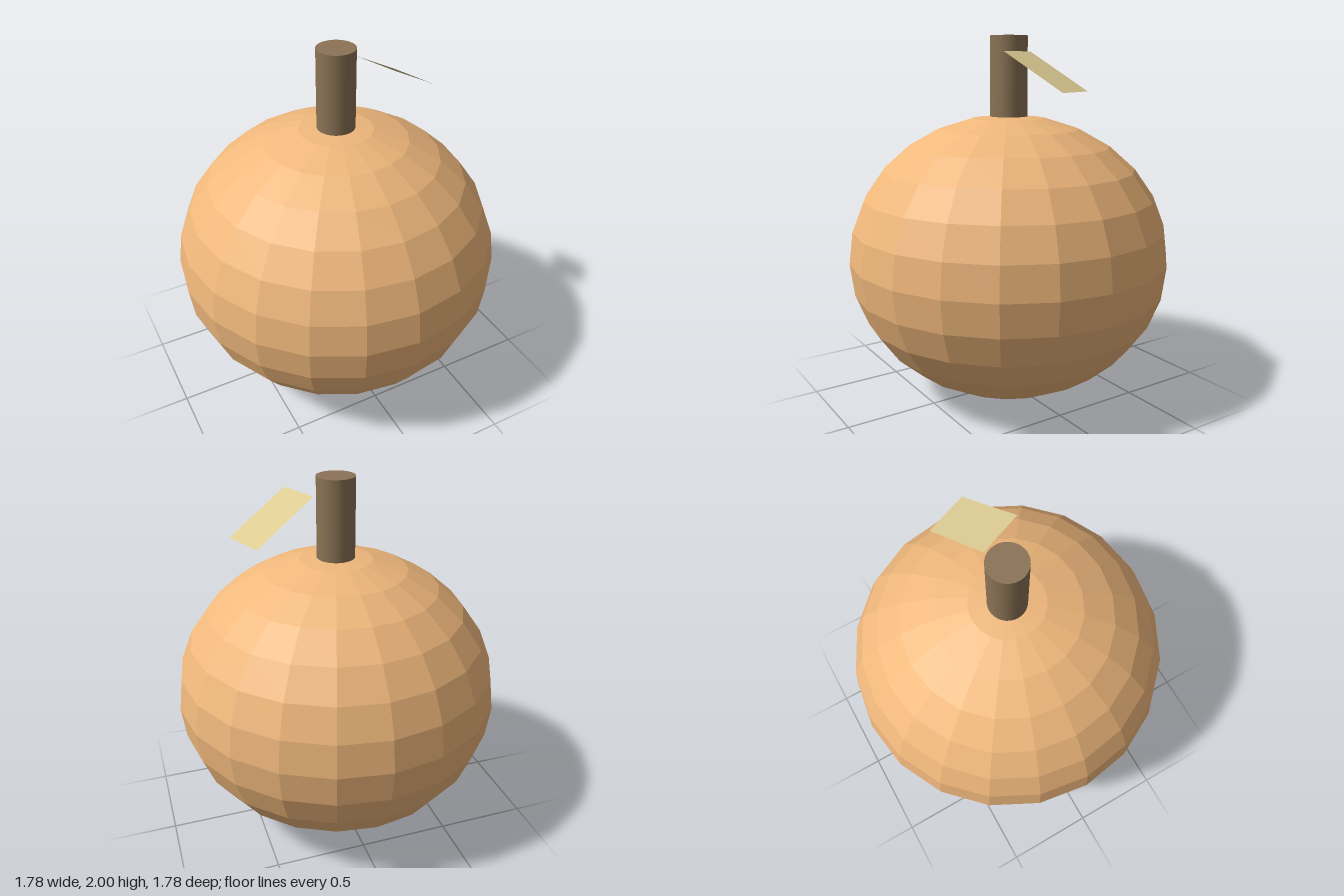
import * as THREE from 'three';

export function createModel() {
  const model = new THREE.Group();

  const add = (name, geometry, color, options = {}) => {
    const mesh = new THREE.Mesh(geometry, new THREE.MeshStandardMaterial({ color, ...options }));
    mesh.name = name;
    model.add(mesh);
    return mesh;
  };

  // Faceted, slightly squashed round body
  const body = new THREE.SphereGeometry(1, 20, 14);
  body.scale(0.892, 0.79, 0.892);
  add('body', body, 0xf0b87c, { flatShading: true }).position.y = 0.79;

  // Smooth round stem, sunk a little into the top of the body
  const stemBottom = 1.5;
  const stem = new THREE.CylinderGeometry(0.102, 0.102, 2 - stemBottom, 32);
  add('stem', stem, 0x8b7355).position.y = (2 + stemBottom) / 2;

  // Flat leaf beside the stem, sloping down and away from it
  const leaf = new THREE.PlaneGeometry(0.403, 0.245);
  leaf.rotateX(-Math.PI / 2);
  leaf.rotateZ(-0.52);
  leaf.rotateY(0.377);
  add('leaf', leaf, 0xdccb92, { side: THREE.DoubleSide }).position.set(0.342, 1.815, 0.002);

  return model;
}
